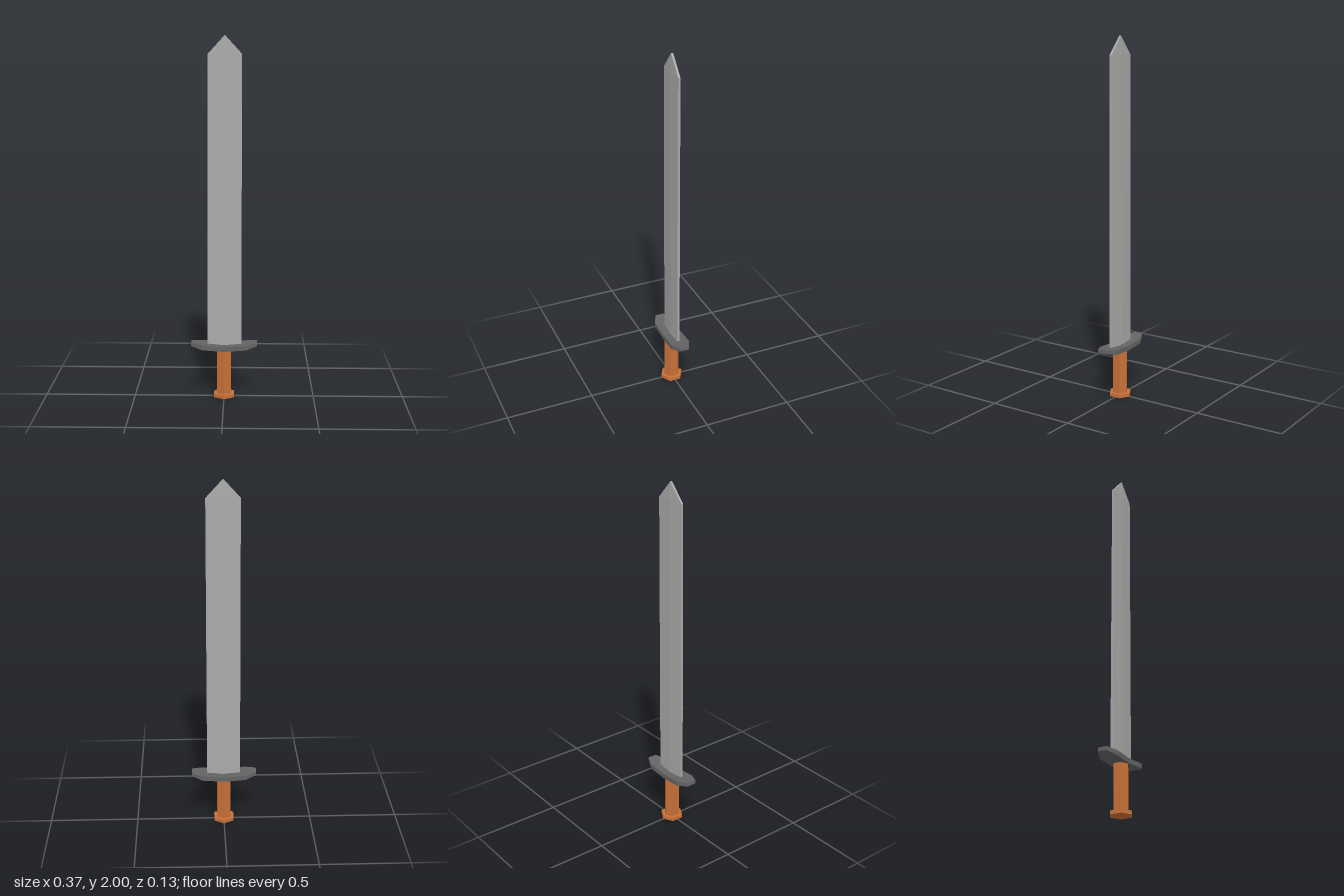
import * as THREE from 'three';

const mat = (color) => new THREE.MeshStandardMaterial({ color, flatShading: true });

// Skins equal-length rings of [x, y, z]; rings run counter-clockwise seen from the last ring
function loft(rings) {
  const pos = [];
  const tri = (a, b, c) => pos.push(...a, ...b, ...c);
  const n = rings[0].length;
  for (let i = 0; i < rings.length - 1; i++) {
    for (let j = 0; j < n; j++) {
      const k = (j + 1) % n;
      const a = rings[i][j], b = rings[i][k], c = rings[i + 1][k], d = rings[i + 1][j];
      tri(a, b, c);
      tri(a, c, d);
    }
  }
  const first = rings[0], last = rings[rings.length - 1];
  for (let j = 1; j < n - 1; j++) {
    tri(first[0], first[j + 1], first[j]);
    tri(last[0], last[j], last[j + 1]);
  }
  const geo = new THREE.BufferGeometry();
  geo.setAttribute('position', new THREE.Float32BufferAttribute(pos, 3));
  geo.computeVertexNormals();
  return geo;
}

export function createModel() {
  const sword = new THREE.Group();
  sword.name = 'sword';
  const add = (name, geo, material, y = 0, z = 0) => {
    const mesh = new THREE.Mesh(geo, material);
    mesh.name = name;
    mesh.position.set(0, y, z);
    sword.add(mesh);
  };
  const wood = mat(0xc87137), darkMetal = mat(0x646464), steel = mat(0xaaaaaa);

  // Hexagonal grip and pommel, corners facing front and back
  add('pommel', new THREE.CylinderGeometry(0.064, 0.064, 0.02, 6), wood, 0.01);
  add('grip', new THREE.CylinderGeometry(0.044, 0.044, 0.265, 6), wood, 0.1475);

  // Guard: upturned bar narrowing at both ends; stations are [x, bottom, top, half depth]
  const guard = [
    [-0.183, 0.295, 0.315, 0.026],
    [-0.122, 0.279, 0.306, 0.054],
    [0, 0.27, 0.297, 0.054],
    [0.122, 0.279, 0.306, 0.054],
    [0.183, 0.295, 0.315, 0.026],
  ].map(([x, lo, hi, d]) => [[x, lo, d], [x, lo, -d], [x, hi, -d], [x, hi, d]]);
  add('guard', loft(guard), darkMetal, 0, -0.002);

  // Blade: ridged six-sided section closing to a chisel tip; [y, left x, right x, edge, ridge]
  const blade = [
    [0.28, -0.092, 0.096, 0.007, 0.012],
    [1.9, -0.087, 0.096, 0.006, 0.01],
    [2, 0.004, 0.004, 0.006, 0.006],
  ].map(([y, l, r, e, m]) => [
    [l, y, e], [0.004, y, m], [r, y, e], [r, y, -e], [0.004, y, -m], [l, y, -e],
  ]);
  add('blade', loft(blade), steel, 0, -0.0015);

  return sword;
}
